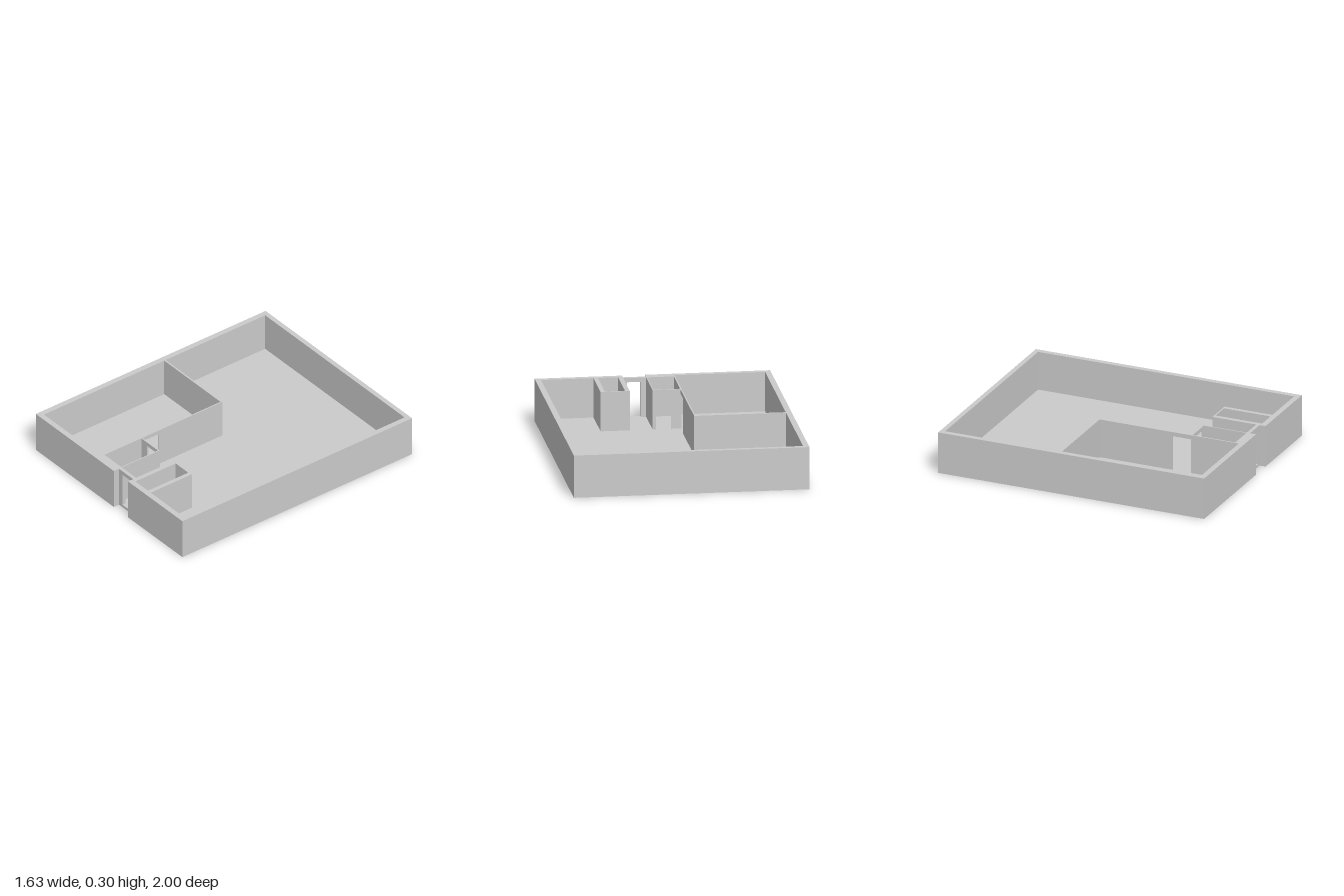
import * as THREE from 'three';

const H = 0.3;      // wall height
const FLOOR = 0.02; // slab thickness
const HEAD = 0.27;  // underside of door headers

export function createModel() {
  const model = new THREE.Group();
  const material = new THREE.MeshStandardMaterial({ color: 0xcccccc, flatShading: true });

  // Box given by its extents on each axis
  const box = (name, [x0, x1], [z0, z1], [y0, y1] = [FLOOR, H], parent = model) => {
    const mesh = new THREE.Mesh(new THREE.BoxGeometry(x1 - x0, y1 - y0, z1 - z0), material);
    mesh.position.set((x0 + x1) / 2, (y0 + y1) / 2, (z0 + z1) / 2);
    mesh.name = name;
    parent.add(mesh);
  };

  // Wall across x with a door opening: extruded panel with a hole
  const doorWall = (name, [x0, x1], [z0, z1], [d0, d1], y0) => {
    const panel = new THREE.Shape([[x0, y0], [x1, y0], [x1, H], [x0, H]].map(p => new THREE.Vector2(...p)));
    panel.holes.push(new THREE.Path([[d0, FLOOR], [d0, HEAD], [d1, HEAD], [d1, FLOOR]].map(p => new THREE.Vector2(...p))));
    const mesh = new THREE.Mesh(new THREE.ExtrudeGeometry(panel, { depth: z1 - z0, bevelEnabled: false }), material);
    mesh.position.z = z0;
    mesh.name = name;
    model.add(mesh);
  };

  // Floor slab, inside the outer walls
  box('floor', [-0.775, 0.775], [-0.965, 0.93], [0, FLOOR]);
  box('floorFrontRight', [-0.775, -0.14], [0.93, 0.96], [0, FLOOR]);
  box('floorFrontLeft', [0.21, 0.775], [0.93, 0.96], [0, FLOOR]);

  // Outer walls
  const full = [0, H];
  box('backWall', [-0.815, 0.815], [-1, -0.965], full);
  box('rightWall', [-0.815, -0.775], [-0.965, 1], full);
  box('leftWall', [0.775, 0.815], [-0.965, 1], full);
  box('frontWallRight', [-0.775, -0.14], [0.96, 1], full);
  box('frontWallCloset', [-0.14, 0.052], [0.93, 1], full);
  box('frontWallLeft', [0.21, 0.775], [0.96, 1], full);

  // Recessed entrance
  doorWall('entranceWall', [0.052, 0.21], [0.93, 0.955], [0.09, 0.185], 0);

  // Side room: two thin partitions with a doorway
  box('roomBackPartition', [-0.775, -0.14], [-0.098, -0.086]);
  box('roomSidePartition', [-0.149, -0.14], [-0.086, 0.46]);
  box('roomDoorHeader', [-0.149, -0.14], [0.46, 0.6], [HEAD, H]);
  box('roomFrontPartition', [-0.149, -0.14], [0.6, 0.96]);

  // Small closet beside the entrance
  doorWall('closetDoorWall', [-0.14, 0.052], [0.6, 0.61], [-0.075, 0.03], FLOOR);
  box('closetSideWall', [0.045, 0.052], [0.61, 0.93]);

  // Closed shaft on the other side of the entrance
  box('shaftBackWall', [0.21, 0.412], [0.6, 0.61]);
  box('shaftRightWall', [0.21, 0.242], [0.61, 0.96]);
  box('shaftLeftWall', [0.382, 0.412], [0.61, 0.96]);

  return model;
}
